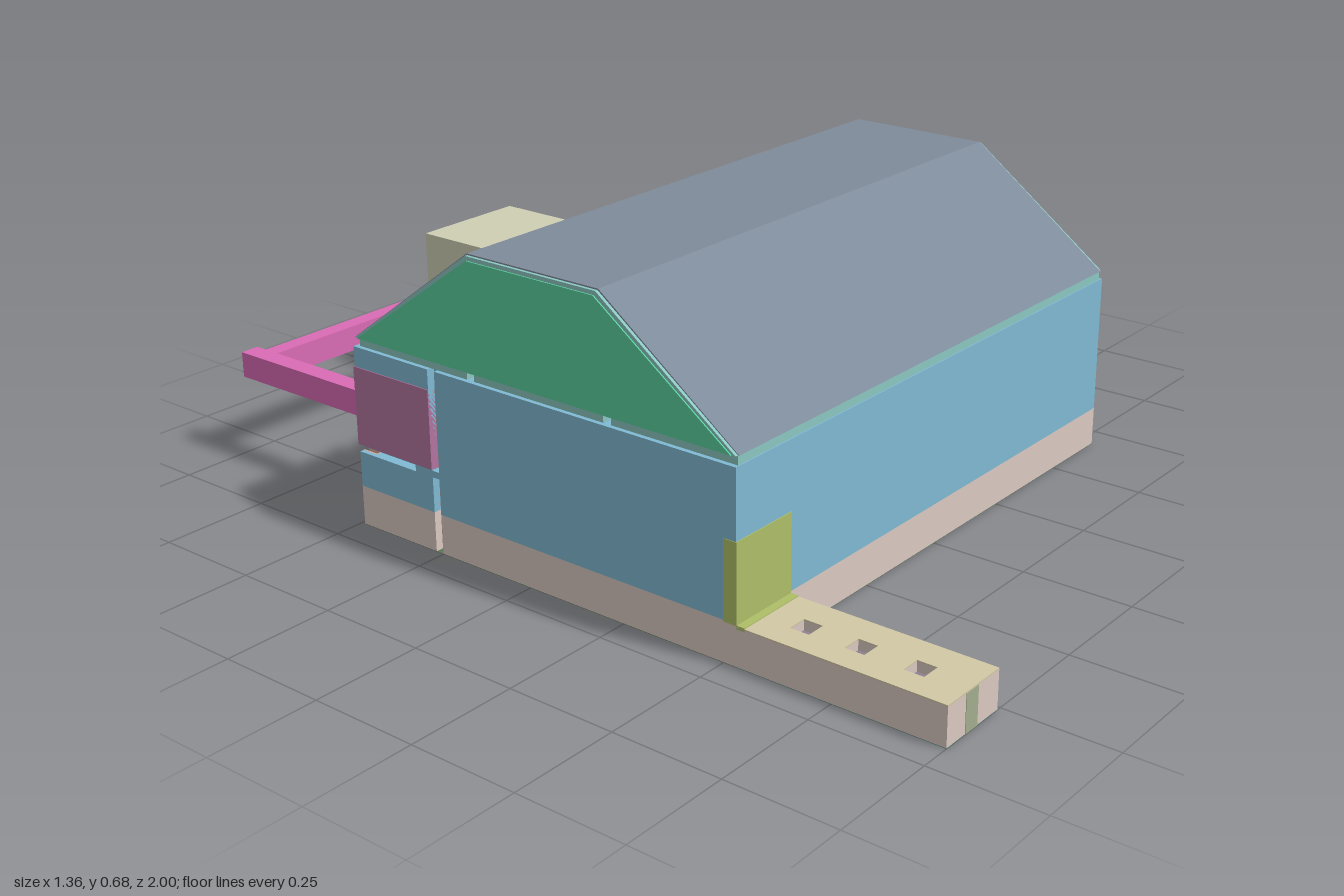
import * as THREE from 'three';

const mat = (color) => new THREE.MeshStandardMaterial({ color, flatShading: true });
const M = {
  base: mat(0xdacac2), wall: mat(0x7fb9d3), eave: mat(0x8cc7c2), roof: mat(0x7e8b9a),
  gable: mat(0x5ccfa0), groove: mat(0xd9a596), annex: mat(0xcfcfb4), pipe: mat(0xd96bb5),
  room: mat(0xb274a0), pane: mat(0x8fb5b3), door: mat(0xadbf68), ramp: mat(0xd2c8a6),
  pit: mat(0x8f8092), strip: mat(0xa3ae8c), floor: mat(0x5f7558), rampFloor: mat(0x468374),
};
const GROOVES = [-0.345, -0.005, 0.335]; // x of the tall grooves in the back wall
const W = 0.045, BACK = -0.49, DEEP = -0.45, FRONT = 0.53;

export function createModel() {
  const model = new THREE.Group();

  const add = (name, geometry, material) => {
    const mesh = new THREE.Mesh(geometry, material);
    mesh.name = name;
    model.add(mesh);
    return mesh;
  };
  // box given by its limits
  const box = (name, material, x0, x1, y0, y1, z0, z1) => {
    const g = new THREE.BoxGeometry(x1 - x0, y1 - y0, z1 - z0);
    g.translate((x0 + x1) / 2, (y0 + y1) / 2, (z0 + z1) / 2);
    return add(name, g, material);
  };
  // [x, z] outline raised from y0 to y1
  const plan = (name, material, pts, y0, y1, holes = []) => {
    const v = (list) => list.map(([x, z]) => new THREE.Vector2(x, -z));
    const shape = new THREE.Shape(v(pts));
    holes.forEach((h) => shape.holes.push(new THREE.Path(v(h))));
    const g = new THREE.ExtrudeGeometry(shape, { depth: y1 - y0, bevelEnabled: false });
    g.rotateX(-Math.PI / 2);
    g.translate(0, y0, 0);
    return add(name, g, material);
  };
  // [z, y] outline drawn out from x0 to x1
  const profile = (name, material, pts, x0, x1) => {
    const shape = new THREE.Shape(pts.map(([z, y]) => new THREE.Vector2(-z, y)));
    const g = new THREE.ExtrudeGeometry(shape, { depth: x1 - x0, bevelEnabled: false });
    g.rotateY(Math.PI / 2);
    g.translate(x0, 0, 0);
    return add(name, g, material);
  };
  // rectangular plan with notches [x centre, width] in its back edge
  const notched = (x0, x1, back, front, notches, sideNotch) => {
    const pts = [[x0, front], [x1, front], [x1, back]];
    [...notches].sort((a, b) => b[0] - a[0]).forEach(([x, w]) => {
      pts.push([x + w / 2, back], [x + w / 2, DEEP], [x - w / 2, DEEP], [x - w / 2, back]);
    });
    pts.push([x0, back]);
    if (sideNotch) pts.push([x0, -0.27], [x0 + 0.02, -0.27], [x0 + 0.02, -0.25], [x0, -0.25]);
    return pts;
  };

  // Main body in layers, with a thin slot below the upper wall at the back
  const tall = GROOVES.map((x) => [x, W]);
  const low = [...tall, [-0.42, 0.02], [-0.66, 0.016]];
  plan('plinth', M.base, notched(-0.68, 0.66, BACK, FRONT, low, true), 0, 0.09);
  plan('lowerWall', M.wall, notched(-0.68, 0.66, BACK, FRONT, low, true), 0.09, 0.17);
  box('slotCore', M.wall, -0.68, 0.66, 0.17, 0.185, -0.32, FRONT);
  plan('upperWall', M.wall, notched(-0.68, 0.66, BACK, FRONT, tall, true), 0.185, 0.41);
  plan('floor', M.floor, notched(-0.68, 0.68, BACK, FRONT, tall), -0.001, 0);

  // Facing of the left end, split by a sloping groove
  const facing = [
    ['plinthFront', M.base, [[0.53, 0], [0.36, 0], [0.195, 0.09], [0.53, 0.09]]],
    ['plinthBack', M.base, [[0.335, 0], [BACK, 0], [BACK, 0.09], [0.17, 0.09]]],
    ['endWallUpper', M.wall, [[0.53, 0.09], [0.195, 0.09], [0.02, 0.185], [BACK, 0.185], [BACK, 0.41], [0.53, 0.41]]],
    ['endWallLower', M.wall, [[0.17, 0.09], [BACK, 0.09], [BACK, 0.17], [0.015, 0.17]]],
  ];
  facing.forEach(([name, m, pts]) => profile(name, m, pts, 0.66, 0.68));
  profile('slopedGroove', M.base, [[0.36, 0], [0.335, 0], [0.015, 0.17], [0.02, 0.185]], 0.66, 0.664);
  box('slotLining', M.pipe, 0.66, 0.664, 0.17, 0.185, -0.32, 0.02);

  // Linings of the back grooves
  const lining = (x, w, top) => {
    box('grooveBack', M.groove, x - w / 2, x + w / 2, 0, top, DEEP - 0.003, DEEP);
    for (const s of [-1, 1]) {
      const e = x + s * w / 2;
      box('grooveSide', M.groove, e - 0.002, e + 0.002, 0, top, BACK - 0.001, DEEP);
    }
  };
  GROOVES.forEach((x) => lining(x, W, 0.45));
  lining(-0.42, 0.02, 0.17);
  lining(-0.66, 0.016, 0.17);
  box('sideGrooveLining', M.groove, -0.662, -0.659, 0, 0.37, -0.27, -0.25);

  // Eave course with two slots running right through
  box('eaveFront', M.eave, -0.67, 0.67, 0.41, 0.43, 0.22, FRONT - 0.003);
  box('eaveMiddle', M.eave, -0.67, 0.67, 0.41, 0.43, -0.145, 0.2);
  plan('eaveBack', M.eave, notched(-0.67, 0.67, -0.48, -0.165, tall), 0.41, 0.43);

  // Roof in bays, cut back where the grooves reach it
  const outline = (t, cut) => {
    const back = cut ? [[DEEP, 0.459 - t], [DEEP, 0.43]] : [[BACK + t, 0.43]];
    return [[FRONT - t, 0.43], [0.195 - t / 2, 0.68 - t], [-0.15 + t / 2, 0.68 - t], ...back];
  };
  const edges = [-0.67, ...GROOVES.flatMap((x) => [x - W / 2, x + W / 2]), 0.67];
  for (let i = 0; i < edges.length - 1; i++) {
    profile('roofBay', M.roof, outline(0, i % 2 === 1), edges[i], edges[i + 1]);
  }
  for (const s of [-1, 1]) {
    const span = (a, b) => (s > 0 ? [a, b] : [-b, -a]);
    profile('roofRim', M.eave, outline(0.003, false), ...span(0.67, 0.677));
    profile('gable', M.gable, outline(0.012, false), ...span(0.677, 0.68));
  }

  // Rear annex and its link
  box('annex', M.annex, 0.02, 0.32, 0.18, 0.385, -1, -0.51);
  box('annexLink', M.groove, 0.075, 0.26, 0.18, 0.34, -0.51, BACK);

  // Rear beams
  box('longBeam', M.pipe, -0.535, 0.02, 0.19, 0.25, -0.96, -0.92);
  box('shortBeam', M.pipe, -0.58, -0.535, 0.19, 0.25, -0.99, BACK);

  // Corner room and back window
  box('cornerRoom', M.room, -0.682, -0.415, 0.187, 0.365, BACK - 0.002, -0.27);
  box('backWindow', M.pane, -0.27, -0.08, 0.185, 0.355, BACK - 0.006, BACK);

  // Front walkway with square pits, and its door
  const pits = [0.635, 0.76, 0.89].map((z) => {
    const h = 0.022;
    return [[-0.6 - h, z - h], [-0.6 + h, z - h], [-0.6 + h, z + h], [-0.6 - h, z + h]];
  });
  const rampPlan = [[-0.68, FRONT], [-0.68, 1], [-0.51, 1], [-0.51, FRONT]];
  plan('walkway', M.base, rampPlan, 0, 0.06);
  plan('walkwayEdge', M.base, rampPlan, 0.06, 0.083, pits);
  plan('walkwayTop', M.ramp, rampPlan, 0.083, 0.086, pits);
  plan('walkwayFloor', M.rampFloor, rampPlan, -0.001, 0);
  pits.forEach((p) => plan('pitFloor', M.pit, p, 0.058, 0.062));
  box('walkwayEndStrip', M.strip, -0.62, -0.58, 0, 0.083, 0.99, 1.001);
  box('door', M.door, -0.681, -0.51, 0.087, 0.26, 0.5, 0.532);
  box('doorSill', M.door, -0.68, -0.51, 0.08, 0.088, FRONT, 0.55);

  return model;
}
